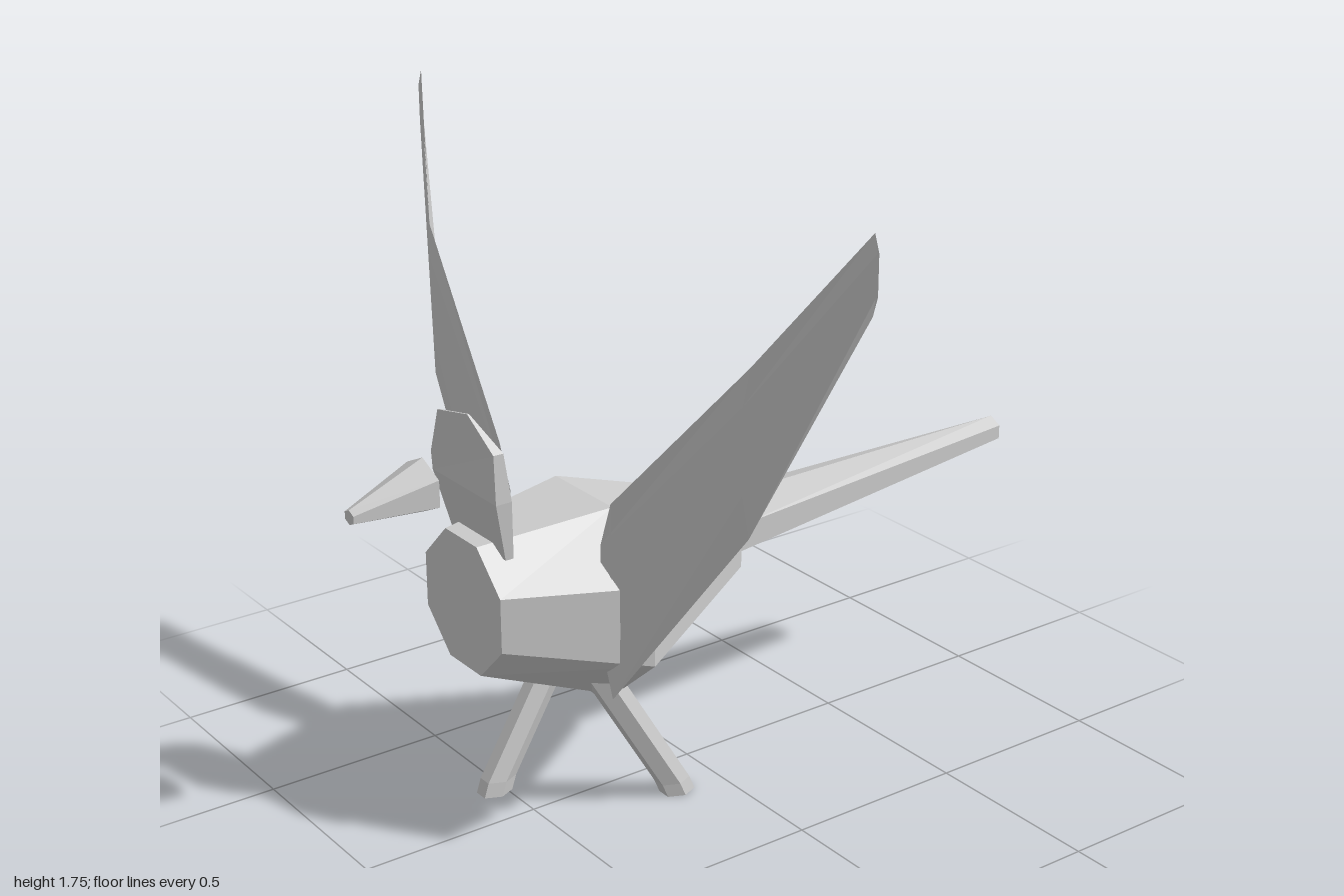
import * as THREE from 'three';

// Faceted skin through cross-sections with equal point counts, capped at both ends
function loft(sections) {
  const tris = [];
  const n = sections[0].length;
  for (let s = 0; s < sections.length - 1; s++) {
    const a = sections[s], b = sections[s + 1];
    for (let i = 0; i < n; i++) {
      const j = (i + 1) % n;
      tris.push([a[i], a[j], b[j]], [a[i], b[j], b[i]]);
    }
  }
  const first = sections[0], last = sections[sections.length - 1];
  for (let i = 1; i < n - 1; i++) {
    tris.push([first[0], first[i + 1], first[i]], [last[0], last[i], last[i + 1]]);
  }
  // Turn the faces outward when the enclosed volume is negative
  let volume = 0;
  for (const [a, b, c] of tris) {
    volume += new THREE.Vector3(...a).dot(new THREE.Vector3(...b).cross(new THREE.Vector3(...c)));
  }
  if (volume < 0) tris.forEach((t) => t.reverse());
  const geometry = new THREE.BufferGeometry();
  geometry.setAttribute('position', new THREE.Float32BufferAttribute(tris.flat(2), 3));
  geometry.computeVertexNormals();
  return geometry;
}

// Upright ring facing z
function ringZ(x, y, z, rx, ry, sides, turn) {
  return Array.from({ length: sides }, (_, i) => {
    const a = turn + (i / sides) * Math.PI * 2;
    return [x + rx * Math.cos(a), y + ry * Math.sin(a), z];
  });
}

// Level ring facing y
function ringY(x, y, z, rx, rz, sides) {
  return Array.from({ length: sides }, (_, i) => {
    const a = (i / sides) * Math.PI * 2;
    return [x + rx * Math.cos(a), y, z + rz * Math.sin(a)];
  });
}

export function createModel() {
  const group = new THREE.Group();
  const grey = new THREE.MeshStandardMaterial({ color: 0xcccccc });
  grey.name = 'light grey';
  const add = (name, sections) => {
    const mesh = new THREE.Mesh(loft(sections), grey);
    mesh.name = name;
    group.add(mesh);
  };

  // Octagonal body, widest in the middle
  const k = 1 / Math.cos(Math.PI / 8);
  add('body', [
    [0.655, 0.69, 0.175, 0.175],
    [0.6, 0.325, 0.307, 0.262],
    [0.635, -0.085, 0.125, 0.115],
  ].map(([y, z, rx, ry]) => ringZ(0, y, z, rx * k, ry * k, 8, Math.PI / 8)));

  // Six-sided tail, bent a little to the left
  add('tail', [
    ringZ(0.002, 0.66, -0.08, 0.128, 0.075, 6, Math.PI / 6),
    ringZ(0.086, 0.752, -1, 0.041, 0.038, 6, Math.PI / 6),
  ]);

  // Beak, floating ahead of the head
  add('beak', [
    ringZ(0.004, 0.998, 0.79, 0.086, 0.07, 6, Math.PI / 6),
    ringZ(0.013, 0.968, 1, 0.024, 0.019, 6, Math.PI / 6),
  ]);

  // Thin head, a wedge that narrows to its top edge
  add('head', [
    [-0.12, 0.8, 0.125, 0.8, 0.64, 0.617],
    [-0.148, 0.96, 0.145, 0.96, 0.675, 0.63],
    [-0.148, 1.01, 0.145, 1.09, 0.678, 0.65],
    [-0.1, 1.135, 0.04, 1.165, 0.683, 0.678],
  ].map(([xl, yl, xr, yr, front, back]) => [
    [xl, yl, front], [xr, yr, front], [xr, yr, back], [xl, yl, back],
  ]));

  // Wings: each station is edge x, middle x, bottom y, top y, z, half thickness
  const stations = [
    [0.25, 0.21, 0.403, 0.935, 0.415, 0.004],
    [0.695, 0.68, 0.98, 1.4, 0.337, 0.009],
    [0.945, 0.957, 1.56, 1.75, 0.198, 0.003],
  ];
  for (const [name, side] of [['leftWing', 1], ['rightWing', -1]]) {
    add(name, stations.map(([xe, xm, y0, y1, z, t]) => {
      const low = y0 + (y1 - y0) * 0.25, high = y0 + (y1 - y0) * 0.77;
      return [
        [side * xe, y0, z], [side * xm, low, z + t], [side * xm, high, z + t],
        [side * xe, y1, z], [side * xm, high, z - t], [side * xm, low, z - t],
      ];
    }));
  }

  // Legs in mid-stride, each with a short upright foot
  const leg = (name, x, path) =>
    add(name, path.map(([y, z]) => ringY(x, y, z, 0.039, 0.05, 6)));
  leg('leftLeg', 0.138, [[0, 0.135], [0.04, 0.152], [0.43, 0.385]]);
  leg('rightLeg', -0.143, [[0, 0.53], [0.04, 0.517], [0.43, 0.285]]);

  return group;
}
